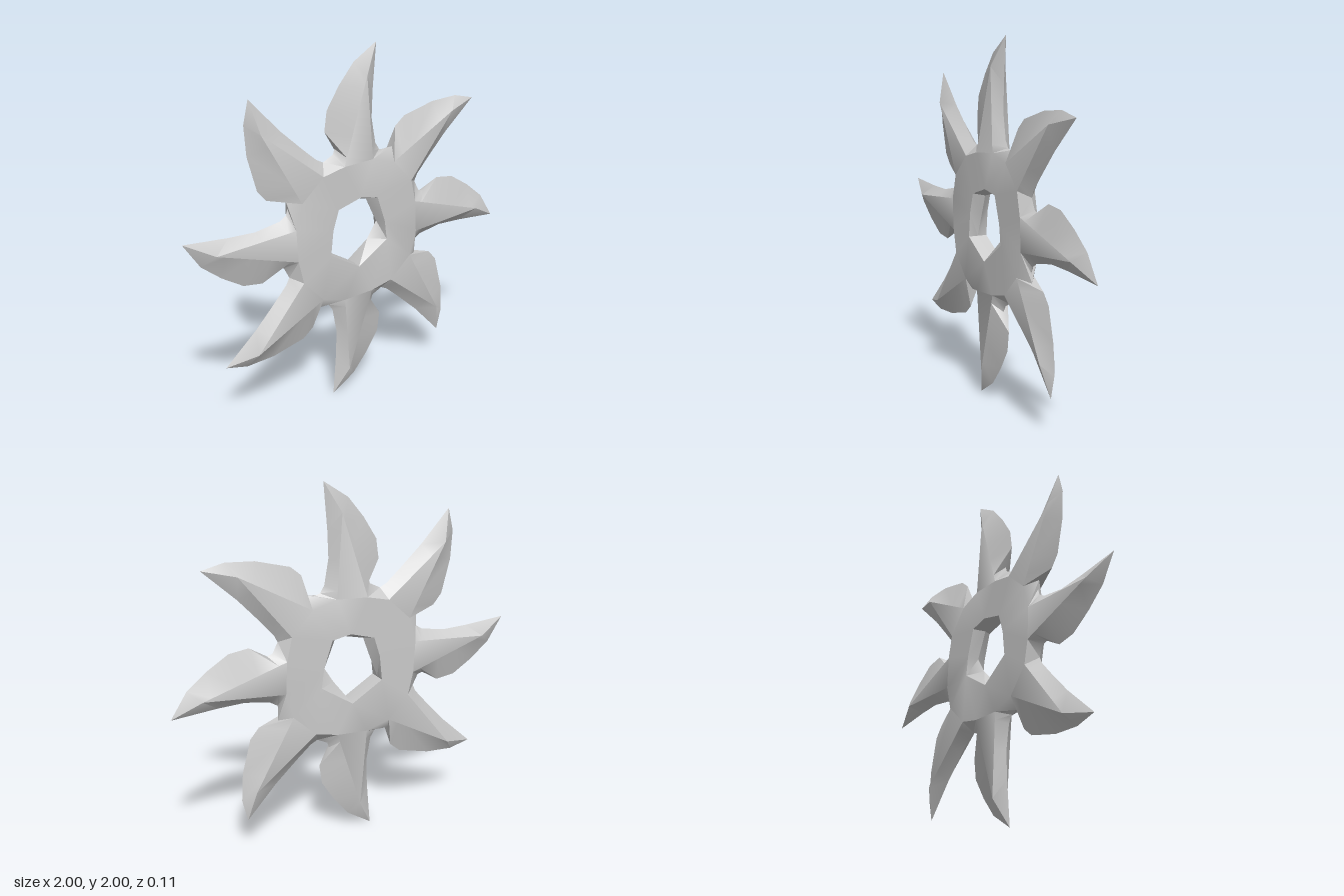
import * as THREE from 'three';
import { toCreasedNormals } from 'three/addons/utils/BufferGeometryUtils.js';

const RIM_Z = 0.055, BASE_Z = 0.052, RIDGE_Z = 0.045;

// Two alternating blades. Outline points run clockwise: x, y, and how far
// along the ridge (0 = base corner, 1 = ridge end) the bevel meets the flat.
const BLADES = [
  {
    left: [-0.09, 0.38], right: [0.09, 0.39], ridge: [0.055, 0.84],
    rising: [[-0.19, 0.41, 0], [-0.13, 0.44, 0], [-0.12, 0.47, 0.1], [-0.18, 0.57, 0.35],
      [-0.165, 0.68, 0.6], [-0.09, 0.8, 0.9], [0, 0.91, 1], [0.14, 1, 1]],
    falling: [[0.12, 0.75, 0.8], [0.115, 0.6, 0.45], [0.14, 0.46, 0.1], [0.165, 0.42, 0], [0.2, 0.41, 0]],
  },
  {
    left: [0.23, 0.35], right: [0.35, 0.22], ridge: [0.63, 0.57],
    rising: [[0.25, 0.42, 0], [0.27, 0.53, 0.15], [0.33, 0.58, 0.3], [0.52, 0.63, 0.8],
      [0.68, 0.64, 1], [0.805, 0.61, 1]],
    falling: [[0.62, 0.44, 0.75], [0.5, 0.31, 0.35], [0.43, 0.23, 0.1], [0.41, 0.19, 0]],
  },
];

// Irregular hole: wide at the faces, pinched at mid thickness
const HOLE_FACE = [[0.01, 0.19], [0.12, 0.17], [0.17, 0.02], [0.185, -0.09],
  [0, -0.21], [-0.18, -0.1], [-0.165, 0.04], [-0.13, 0.15]];
const HOLE_MID = [[0.02, 0.165], [0.08, 0.155], [0.15, 0.01], [0.09, -0.085],
  [0, -0.205], [-0.18, -0.1], [-0.13, 0.03], [-0.09, 0.14]];

const v = ([x, y], z) => new THREE.Vector3(x, y, z);
const quarterTurn = (p, n) => p.clone().applyAxisAngle(new THREE.Vector3(0, 0, 1), -n * Math.PI / 2);

// Collects front triangles and mirrors each one to the back
class TwoSided {
  positions = [];
  tri(a, b, c) {
    if (a.equals(b) || b.equals(c) || c.equals(a)) return;
    for (const p of [a, b, c]) this.positions.push(p.x, p.y, p.z);
    for (const p of [a, c, b]) this.positions.push(p.x, p.y, -p.z);
  }
  quad(outer, inner, outerNext, innerNext) {
    this.tri(outerNext, outer, inner);
    this.tri(outerNext, inner, innerNext);
  }
  mesh(name, material) {
    const g = new THREE.BufferGeometry();
    g.setAttribute('position', new THREE.Float32BufferAttribute(this.positions, 3));
    g.computeVertexNormals();
    const m = new THREE.Mesh(toCreasedNormals(g, 0.65), material);
    m.name = name;
    return m;
  }
}

// Sharp outline, bevels up to a flat wedge
function bladeMesh(spec, material) {
  const s = new TwoSided();
  const left = v(spec.left, BASE_Z), right = v(spec.right, BASE_Z), ridge = v(spec.ridge, RIDGE_Z);
  const pairs = (points, base) => points.map((p) => [v(p, 0), base.clone().lerp(ridge, p[2])]);
  const rail = [...pairs(spec.rising, left), ...pairs(spec.falling, right)];
  for (let i = 0; i + 1 < rail.length; i++) s.quad(...rail[i], ...rail[i + 1]);
  s.tri(left, right, ridge);
  return s.mesh('blade', material);
}

// Ring between the blade bases and the hole, with bevelled notches
function hubMesh(material) {
  const s = new TwoSided();
  const corners = Array.from({ length: 8 }, (_, k) => {
    const spec = BLADES[k % 2], turn = Math.floor(k / 2);
    return {
      left: quarterTurn(v(spec.left, BASE_Z), turn),
      right: quarterTurn(v(spec.right, BASE_Z), turn),
      start: quarterTurn(v(spec.rising[0], 0), turn),
      end: quarterTurn(v(spec.falling.at(-1), 0), turn),
      rim: v(HOLE_FACE[k], RIM_Z),
      mid: v(HOLE_MID[k], 0),
    };
  });
  corners.forEach((a, k) => {
    const b = corners[(k + 1) % 8];
    s.quad(a.left, a.rim, a.right, a.rim);
    s.quad(a.right, a.rim, b.left, b.rim);
    s.quad(a.end, a.right, b.start, b.left);
    s.quad(a.rim, a.mid, b.rim, b.mid);
  });
  return s.mesh('hub', material);
}

export function createModel() {
  const material = new THREE.MeshStandardMaterial({ color: 0xcccccc, side: THREE.DoubleSide });
  const star = new THREE.Group();
  star.name = 'throwingStar';
  star.position.y = 1;
  star.add(hubMesh(material));
  const blades = BLADES.map((spec) => bladeMesh(spec, material));
  for (let k = 0; k < 8; k++) {
    const blade = blades[k % 2].clone();
    blade.name = `blade${k + 1}`;
    blade.rotation.z = -Math.floor(k / 2) * Math.PI / 2;
    star.add(blade);
  }
  const model = new THREE.Group();
  model.add(star);
  return model;
}
